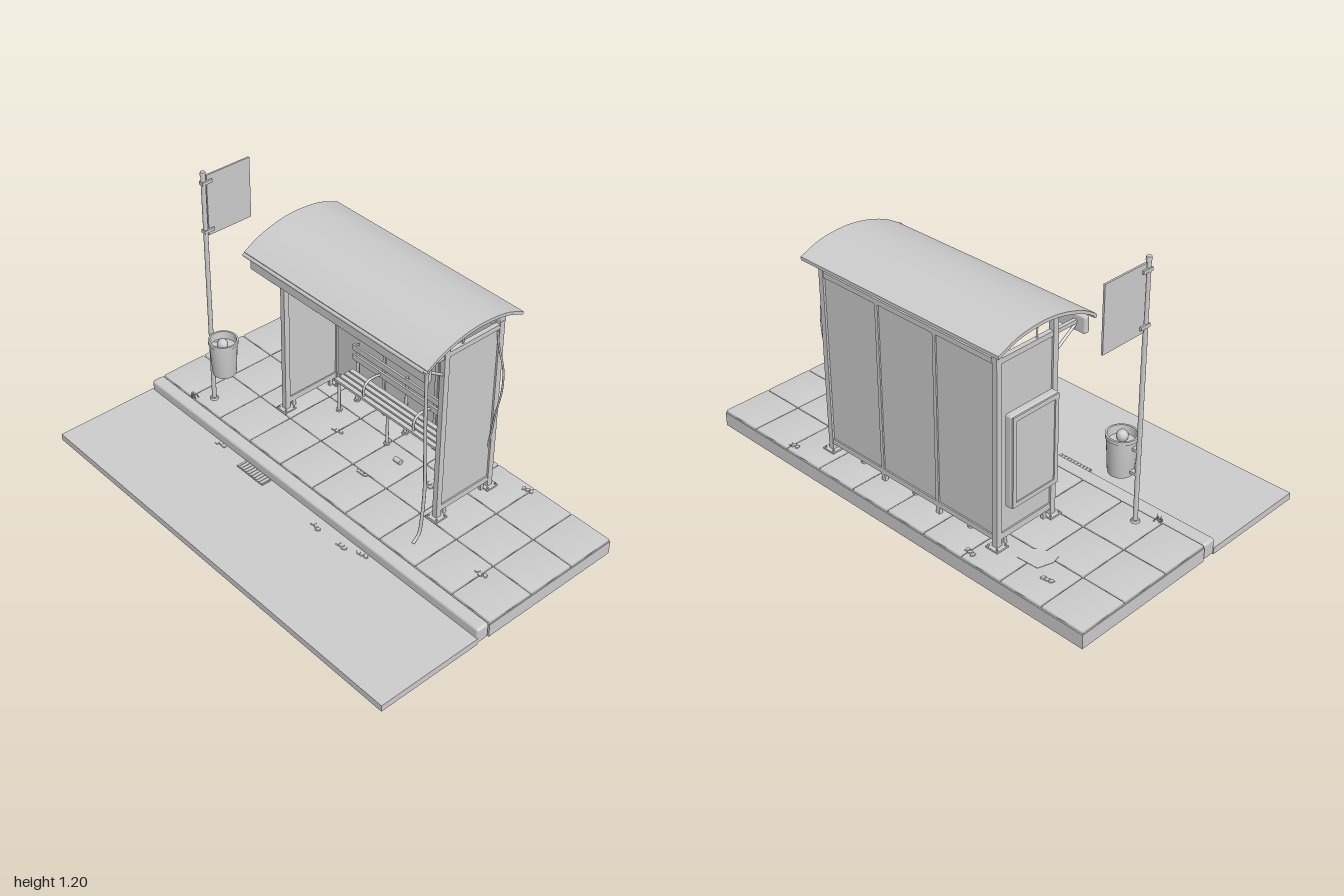
import * as THREE from 'three';
import { mergeVertices, toCreasedNormals } from 'three/addons/utils/BufferGeometryUtils.js';
import { RoundedBoxGeometry } from 'three/addons/geometries/RoundedBoxGeometry.js';

export function createModel() {
  const root = new THREE.Group();
  root.name = 'busShelter';
  const grey = new THREE.MeshStandardMaterial({ color: 0xcccccc, side: THREE.DoubleSide });
  grey.name = 'plainGrey';

  let seed = 7;
  const rnd = () => (seed = (seed * 16807) % 2147483647) / 2147483647;
  const V = (x, y, z) => new THREE.Vector3(x, y, z);

  const group = (name) => {
    const g = new THREE.Group();
    g.name = name;
    root.add(g);
    return g;
  };
  const add = (parent, name, geo, x = 0, y = 0, z = 0) => {
    const m = new THREE.Mesh(geo, grey);
    m.name = name;
    m.position.set(x, y, z);
    parent.add(m);
    return m;
  };
  // Box given by its lower and upper limits on each axis
  const box = (parent, name, x0, x1, y0, y1, z0, z1) =>
    add(parent, name, new THREE.BoxGeometry(x1 - x0, y1 - y0, z1 - z0), (x0 + x1) / 2, (y0 + y1) / 2, (z0 + z1) / 2);
  const tube = (parent, name, pts, r, segs = 24) =>
    add(parent, name, new THREE.TubeGeometry(new THREE.CatmullRomCurve3(pts), segs, r, 8));
  // Straight round bar between two points
  const bar = (parent, name, a, b, r) => {
    const m = add(parent, name, new THREE.CylinderGeometry(r, r, a.distanceTo(b), 10));
    m.position.copy(a).add(b).multiplyScalar(0.5);
    m.quaternion.setFromUnitVectors(V(0, 1, 0), b.clone().sub(a).normalize());
    return m;
  };
  // Extrude a (z, y) outline across the width, centred on x
  const acrossX = (shape, width) => {
    const g = new THREE.ExtrudeGeometry(shape, { depth: width, bevelEnabled: false });
    g.translate(0, 0, -width / 2);
    g.rotateY(-Math.PI / 2);
    return toCreasedNormals(g, 0.5);
  };

  // Ground
  const ground = group('ground');
  box(ground, 'road', -1, 1, 0, 0.03, 0.125, 0.61);
  box(ground, 'pavementSlab', -1, 1, 0, 0.062, -0.61, 0.066);
  add(ground, 'kerb', new RoundedBoxGeometry(2, 0.073, 0.06, 3, 0.012), 0, 0.0385, 0.098);
  const tileGeo = () => {
    const g = new THREE.BoxGeometry(0.197, 0.014, 0.222);
    const p = g.attributes.position;
    for (let i = 0; i < p.count; i++) {
      if (p.getY(i) > 0) p.setXYZ(i, p.getX(i) * 0.97, p.getY(i), p.getZ(i) * 0.97);
    }
    g.deleteAttribute('normal');
    g.deleteAttribute('uv');
    const s = mergeVertices(g);
    s.computeVertexNormals();
    return s;
  };
  const tile = tileGeo();
  for (let i = 0; i < 10; i++) {
    for (let j = 0; j < 3; j++) {
      const t = add(ground, 'pavingTile', tile, -0.9 + i * 0.2, 0.068, -0.497 + j * 0.225);
      t.rotation.set((rnd() - 0.5) * 0.012, 0, (rnd() - 0.5) * 0.012);
    }
  }

  // Drain grate beside the kerb
  const drain = group('drain');
  box(drain, 'drainPlate', -0.345, -0.18, 0.03, 0.034, 0.13, 0.18);
  for (let i = 0; i < 10; i++) box(drain, 'drainBar', -0.342 + i * 0.0165, -0.333 + i * 0.0165, 0.034, 0.037, 0.132, 0.178);

  // Curved roof
  const roof = group('roof');
  const arc = new THREE.CatmullRomCurve3([
    V(0, 0.905, -0.036), V(0, 0.941, -0.1), V(0, 0.968, -0.176), V(0, 0.983, -0.25),
    V(0, 0.987, -0.322), V(0, 0.974, -0.436), V(0, 0.937, -0.532)]).getPoints(28);
  const arcShape = (top, bottom, a, b) => {
    const part = arc.slice(a, b);
    return new THREE.Shape([
      ...part.map((p) => new THREE.Vector2(p.z, p.y + top)),
      ...part.reverse().map((p) => new THREE.Vector2(p.z, p.y + bottom))]);
  };
  add(roof, 'roofSheet', acrossX(arcShape(0.007, -0.007, 0, 29), 1.04));
  for (const x of [-0.46, 0, 0.46]) {
    add(roof, 'roofRib', acrossX(arcShape(-0.006, -0.022, 2, 27), 0.016), x);
    if (x) bar(roof, 'roofStrut', V(x, 0.875, -0.278), V(x, 0.975, -0.278), 0.004);
  }
  bar(roof, 'gutter', V(-0.52, 0.9, -0.036), V(0.52, 0.9, -0.036), 0.009);
  add(roof, 'frontFascia', new RoundedBoxGeometry(1.01, 0.07, 0.026, 2, 0.006), 0, 0.867, -0.063);
  box(roof, 'rearBeam', -0.47, 0.47, 0.9, 0.925, -0.488, -0.468);

  // Frame and side walls
  const frame = group('frame');
  for (const s of [-1, 1]) {
    const x = s * 0.459;
    for (const [z, top] of [[-0.189, 0.937], [-0.478, 0.945]]) {
      box(frame, 'post', x - 0.012, x + 0.012, 0.07, top, z - 0.013, z + 0.013);
      box(frame, 'basePlate', x - 0.03, x + 0.03, 0.07, 0.082, z - 0.03, z + 0.03);
      for (const dx of [-0.022, 0.022]) for (const dz of [-0.022, 0.022])
        add(frame, 'bolt', new THREE.CylinderGeometry(0.004, 0.004, 0.008, 6), x + dx, 0.085, z + dz);
    }
    add(frame, 'rearBracket', new RoundedBoxGeometry(0.032, 0.042, 0.028, 2, 0.005), x, 0.92, -0.478);
    box(frame, 'sidePanel', x - 0.004, x + 0.004, 0.12, 0.875, -0.47, -0.2);
    box(frame, 'sideTopRail', x - 0.01, x + 0.01, 0.865, 0.887, -0.468, -0.2);
    box(frame, 'sideBottomRail', x - 0.01, x + 0.01, 0.108, 0.136, -0.468, -0.2);
    for (const z of [-0.228, -0.44]) box(frame, 'panelFoot', x - 0.006, x + 0.006, 0.07, 0.11, z - 0.008, z + 0.008);
    box(frame, 'roofArm', x - 0.008, x + 0.008, 0.865, 0.881, -0.18, -0.055);
    bar(frame, 'roofBrace', V(x, 0.79, -0.178), V(x, 0.862, -0.07), 0.006);
  }

  // Back wall with mullions
  const back = group('backWall');
  box(back, 'backPanel', -0.45, 0.45, 0.12, 0.875, -0.482, -0.474);
  box(back, 'backTopRail', -0.45, 0.45, 0.865, 0.887, -0.488, -0.468);
  box(back, 'backBottomRail', -0.45, 0.45, 0.108, 0.132, -0.488, -0.468);
  for (const x of [-0.153, 0.153]) {
    box(back, 'mullion', x - 0.008, x + 0.008, 0.1, 0.875, -0.488, -0.468);
    box(back, 'mullionFoot', x - 0.01, x + 0.01, 0.07, 0.108, -0.486, -0.47);
  }

  // Notice board with a handle
  const board = group('noticeBoard');
  box(board, 'boardPanel', -0.4, -0.215, 0.44, 0.687, -0.474, -0.458);
  box(board, 'boardHandle', -0.23, -0.223, 0.545, 0.575, -0.458, -0.451);

  // Poster case on the right wall
  const caseGroup = group('posterCase');
  add(caseGroup, 'caseBody', new RoundedBoxGeometry(0.036, 0.4, 0.245, 2, 0.01), -0.498, 0.465, -0.34);
  const rim = new THREE.Shape([[-0.118, -0.195], [0.118, -0.195], [0.118, 0.195], [-0.118, 0.195]].map((p) => new THREE.Vector2(...p)));
  rim.holes.push(new THREE.Path([[-0.1, -0.175], [0.1, -0.175], [0.1, 0.175], [-0.1, 0.175]].map((p) => new THREE.Vector2(...p))));
  add(caseGroup, 'caseRim', acrossX(rim, 0.008), -0.517, 0.465, -0.34);
  for (const y of [0.35, 0.58]) box(caseGroup, 'caseMount', -0.485, -0.46, y - 0.015, y + 0.015, -0.4, -0.28);

  // Downpipe and loose cable
  const pipes = group('pipes');
  tube(pipes, 'downpipe', [V(0.515, 0.905, -0.037), V(0.515, 0.68, -0.042), V(0.515, 0.5, -0.05), V(0.515, 0.35, -0.056),
    V(0.515, 0.2, -0.049), V(0.515, 0.115, -0.036), V(0.515, 0.085, -0.006)], 0.007, 40);
  add(pipes, 'pipeFunnel', new THREE.CylinderGeometry(0.012, 0.008, 0.025, 10), 0.515, 0.895, -0.037);
  tube(pipes, 'cable', [V(0.465, 0.86, -0.46), V(0.475, 0.8, -0.46), V(0.508, 0.7, -0.46), V(0.51, 0.6, -0.46),
    V(0.485, 0.46, -0.46), V(0.472, 0.36, -0.46), V(0.445, 0.2, -0.46)], 0.004, 32);
  box(pipes, 'junctionBox', 0.418, 0.445, 0.15, 0.2, -0.474, -0.455);

  // Bench
  const bench = group('bench');
  for (let i = 0; i < 4; i++) {
    const z = -0.34 - i * 0.028;
    box(bench, 'seatSlat', -0.32, 0.32, 0.228, 0.24, z - 0.021, z);
  }
  for (const y of [0.308, 0.357]) box(bench, 'backSlat', -0.32, 0.32, y - 0.014, y + 0.014, -0.452, -0.442);
  for (const x of [-0.3, 0, 0.3]) {
    bar(bench, 'frontLeg', V(x, 0.07, -0.35), V(x, 0.228, -0.35), 0.007);
    bar(bench, 'rearLeg', V(x, 0.07, -0.455), V(x, 0.375, -0.455), 0.007);
    bar(bench, 'seatBearer', V(x, 0.222, -0.35), V(x, 0.222, -0.455), 0.006);
    for (const z of [-0.35, -0.455]) add(bench, 'legFoot', new THREE.CylinderGeometry(0.014, 0.014, 0.008, 10), x, 0.079, z);
  }
  for (const x of [-0.15, 0.15]) {
    tube(bench, 'armrest', [V(x, 0.235, -0.352), V(x, 0.285, -0.355), V(x, 0.308, -0.38), V(x, 0.31, -0.415), V(x, 0.305, -0.445)], 0.006);
  }

  // Stop sign pole and flag
  const sign = group('stopSign');
  bar(sign, 'signPole', V(-0.72, 0.07, 0), V(-0.72, 1.195, 0), 0.01);
  add(sign, 'poleCap', new THREE.CylinderGeometry(0.011, 0.012, 0.014, 12), -0.72, 1.195, 0);
  add(sign, 'poleFoot', new THREE.CylinderGeometry(0.016, 0.02, 0.012, 12), -0.72, 0.078, 0);
  box(sign, 'signPlate', -0.724, -0.716, 0.905, 1.182, -0.232, -0.014);
  for (const y of [0.93, 1.153]) box(sign, 'signClamp', -0.732, -0.708, y - 0.007, y + 0.007, -0.038, 0.012);

  // Litter bin
  const bin = group('litterBin');
  const binProfile = [[0, 0.265], [0.05, 0.265], [0.052, 0.275], [0.06, 0.42], [0.064, 0.42], [0.064, 0.435], [0.056, 0.435], [0.053, 0.4], [0, 0.4]];
  add(bin, 'binBody', toCreasedNormals(new THREE.LatheGeometry(binProfile.map((p) => new THREE.Vector2(...p)), 28), 0.6), -0.638, 0, 0);
  const trash = add(bin, 'trash', new THREE.IcosahedronGeometry(0.024, 1), -0.632, 0.418, 0.008);
  trash.scale.y = 1.1;
  for (const y of [0.29, 0.395]) box(bin, 'binBracket', -0.72, -0.68, y - 0.006, y + 0.006, -0.01, 0.01);

  // Cracked patch, leaves, grass and a can
  const litter = group('litter');
  const patch = new THREE.Shape([[-0.06, -0.02], [-0.04, 0.045], [0.06, 0.05], [0.055, -0.02], [0.03, -0.05], [-0.05, -0.06]].map((p) => new THREE.Vector2(...p)));
  add(litter, 'pavementPatch', new THREE.ExtrudeGeometry(patch, { depth: 0.003, bevelEnabled: false }).rotateX(-Math.PI / 2), -0.61, 0.074, -0.42);
  const leaf = new THREE.CylinderGeometry(0.011, 0.013, 0.004, 6);
  for (const [x, z] of [[-0.41, -0.57], [0.59, -0.58], [-0.72, -0.49], [0.8, -0.09], [0.3, -0.3], [-0.2, -0.25], [0.07, -0.15], [0.15, 0.18], [0.3, 0.17], [0.39, 0.15], [-0.5, 0.145]]) {
    const y = z > 0.13 ? 0.032 : 0.077;
    for (let k = -1; k < 2; k++) {
      const m = add(litter, 'leaf', leaf, x + k * 0.018, y, z + (rnd() - 0.5) * 0.015);
      m.scale.z = 0.7;
      m.rotation.y = rnd() * 3;
    }
  }
  for (let i = 0; i < 9; i++) {
    const blade = add(litter, 'grassBlade', new THREE.ConeGeometry(0.003, 0.035, 4), -0.785 + (rnd() - 0.5) * 0.025, 0.088, 0.06 + (rnd() - 0.5) * 0.015);
    blade.rotation.set((rnd() - 0.5) * 0.9, 0, (rnd() - 0.5) * 0.9);
  }
  const can = add(litter, 'can', new THREE.CylinderGeometry(0.012, 0.012, 0.034, 12), 0.12, 0.088, -0.3);
  can.rotation.z = Math.PI / 2;

  return root;
}
